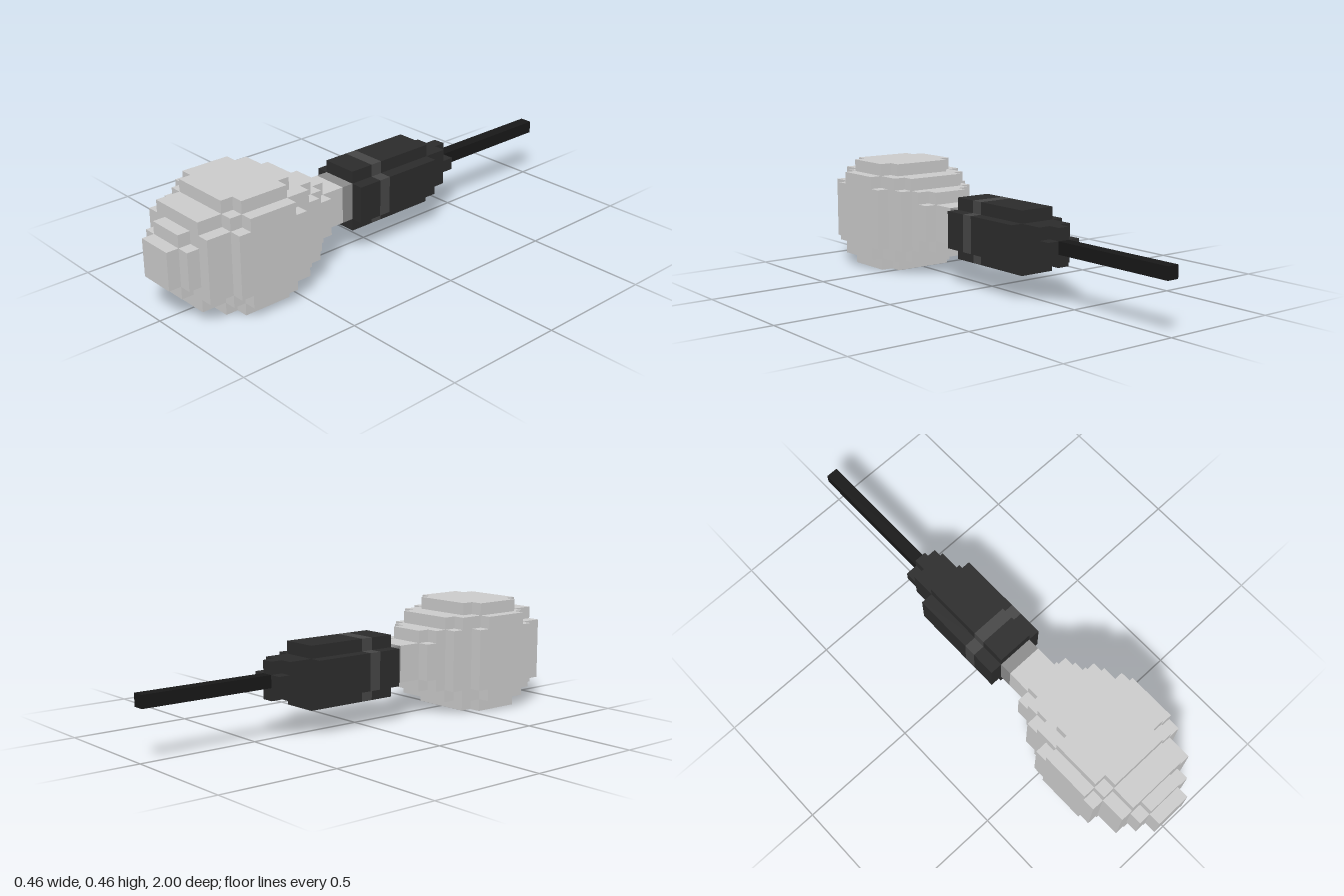
import * as THREE from 'three';

const U = 2 / 39; // one voxel
const mat = (color) => new THREE.MeshStandardMaterial({ color, flatShading: true });

// Cross-section stepped at its corners: widths of the steps in voxels, each
// paired with the matching height read from the same list backwards.
function steppedShape(steps) {
  const n = steps.length;
  const quadrant = []; // from the +x side up to the +y side
  for (let i = n - 1; i >= 0; i--) {
    const w = steps[i] * U / 2;
    if (i < n - 1) quadrant.push([w, steps[n - 2 - i] * U / 2]);
    quadrant.push([w, steps[n - 1 - i] * U / 2]);
  }
  const mirrored = (sx, sy) => quadrant.map(([x, y]) => new THREE.Vector2(x * sx, y * sy));
  return new THREE.Shape([
    ...mirrored(1, 1), ...mirrored(-1, 1).reverse(),
    ...mirrored(-1, -1), ...mirrored(1, -1).reverse(),
  ]);
}

// Parts from front to back; each slice is [length in voxels, steps]
const parts = [
  ['bulb', 0xcccccc, [
    [1, [3]], [1, [3, 5]], [2, [5, 7]],
    [1, [5, 7, 9]], [4, [7, 9]], [1, [5, 7, 9]],
    [1, [7]], [1, [5, 7]], [1, [5]], [1, [3, 5]],
  ]],
  ['bulbNeck', 0xcccccc, [[2, [3]]]],
  ['collar', 0x8c8c8c, [[1, [3]]]],
  ['socketFront', 0x2c2c2c, [[2, [3, 5]]]],
  ['socketBand', 0x464646, [[1, [3, 5]]]],
  ['socketBody', 0x2c2c2c, [[5, [3, 5]]]],
  ['socketCap', 0x2c2c2c, [[2, [3]], [1, [1, 3]]]],
  ['cable', 0x181818, [[11, [1]]]],
];

export function createModel() {
  const model = new THREE.Group();
  let z = 1;
  for (const [name, color, slices] of parts) {
    const part = new THREE.Group();
    part.name = name;
    const material = mat(color);
    for (const [length, steps] of slices) {
      const depth = length * U;
      z -= depth;
      const geometry = new THREE.ExtrudeGeometry(steppedShape(steps), { depth, bevelEnabled: false });
      const slice = new THREE.Mesh(geometry, material);
      slice.name = name + 'Slice';
      slice.position.set(0, 4.5 * U, z);
      part.add(slice);
    }
    model.add(part);
  }
  return model;
}
